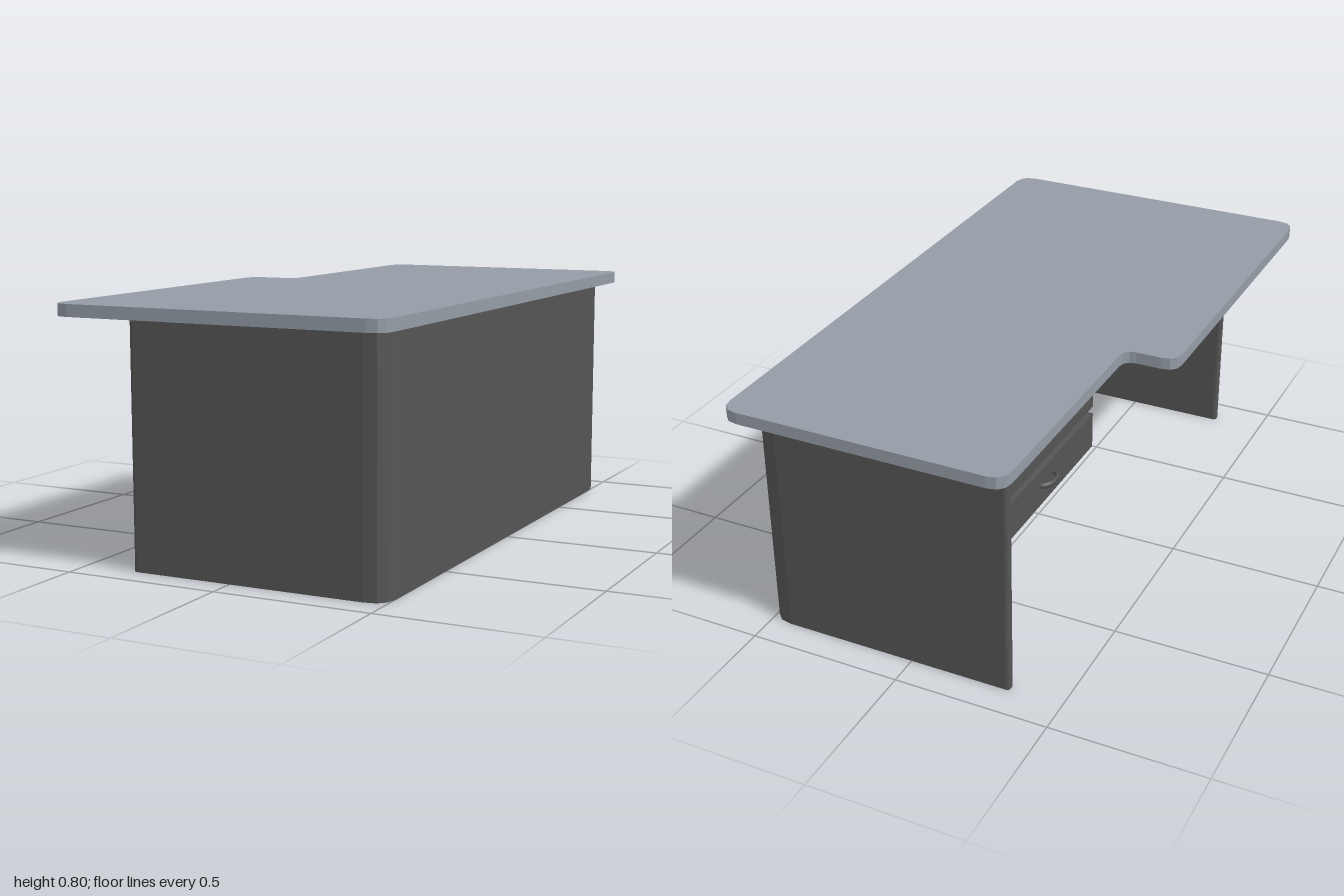
import * as THREE from 'three';

// Closed outline in plan: corners are [x, z, corner setback]
function roundedPlan(corners) {
  const shape = new THREE.Shape();
  const n = corners.length;
  corners.forEach(([x, z, r], i) => {
    const p = new THREE.Vector2(x, z);
    const towards = ([qx, qz]) => new THREE.Vector2(qx, qz).sub(p).setLength(r).add(p);
    const a = towards(corners[(i + n - 1) % n]);
    const b = towards(corners[(i + 1) % n]);
    if (i === 0) shape.moveTo(a.x, a.y);
    else shape.lineTo(a.x, a.y);
    shape.quadraticCurveTo(x, z, b.x, b.y);
  });
  shape.closePath();
  return shape;
}

// Vertical slab of a plan outline between two heights
function slab(corners, bottom, top) {
  const g = new THREE.ExtrudeGeometry(roundedPlan(corners), {
    depth: top - bottom, bevelEnabled: false, curveSegments: 3,
  });
  g.rotateX(Math.PI / 2);
  g.translate(0, top, 0);
  return g;
}

export function createModel() {
  const desk = new THREE.Group();
  desk.name = 'desk';
  const topGrey = new THREE.MeshStandardMaterial({ color: 0x949ca6 });
  topGrey.name = 'blue grey top';
  const darkGrey = new THREE.MeshStandardMaterial({ color: 0x555555 });
  darkGrey.name = 'dark grey body';

  function add(name, geometry, material, parent = desk) {
    const mesh = new THREE.Mesh(geometry, material);
    mesh.name = name;
    parent.add(mesh);
    return mesh;
  }
  function box(name, x0, x1, y0, y1, z0, z1, parent) {
    const g = new THREE.BoxGeometry(x1 - x0, y1 - y0, z1 - z0);
    g.translate((x0 + x1) / 2, (y0 + y1) / 2, (z0 + z1) / 2);
    return add(name, g, darkGrey, parent);
  }

  // Worktop with a step on the seated side
  add('worktop', slab([
    [-0.54, 1, 0.055], [0.54, 1, 0.055], [0.54, -1, 0.055],
    [-0.37, -1, 0.055], [-0.37, -0.165, 0.04], [-0.54, -0.165, 0.05],
  ], 0.762, 0.8), topGrey);

  // Three-sided base wrapping both ends and the long side
  const t = 0.032, e = 0.012;
  add('basePanels', slab([
    [-0.33, 0.912, e], [0.502, 0.912, 0.07], [0.502, -0.9, 0.07], [-0.33, -0.9, e],
    [-0.33, -0.9 + t, e], [0.502 - t, -0.9 + t, 0.04],
    [0.502 - t, 0.912 - t, 0.04], [-0.33, 0.912 - t, e],
  ], 0, 0.758), darkGrey);

  // Hanging drawer unit
  const drawers = new THREE.Group();
  drawers.name = 'drawerUnit';
  desk.add(drawers);
  box('drawerCarcass', -0.24, 0.19, 0.44, 0.762, -0.85, -0.17, drawers);
  [['lower', 0.435, 0.555], ['upper', 0.58, 0.735]].forEach(([name, y0, y1]) => {
    box(name + 'DrawerFront', -0.27, -0.24, y0, y1, -0.85, -0.17, drawers);
    // Bow handle
    const g = new THREE.TorusGeometry(0.045, 0.009, 6, 10, Math.PI);
    g.rotateX(Math.PI / 2);
    g.rotateY(-Math.PI / 2);
    g.scale(0.6, 1, 1);
    const handle = add(name + 'DrawerHandle', g, darkGrey, drawers);
    handle.position.set(-0.27, (y0 + y1) / 2 + 0.01, -0.51);
  });

  return desk;
}
